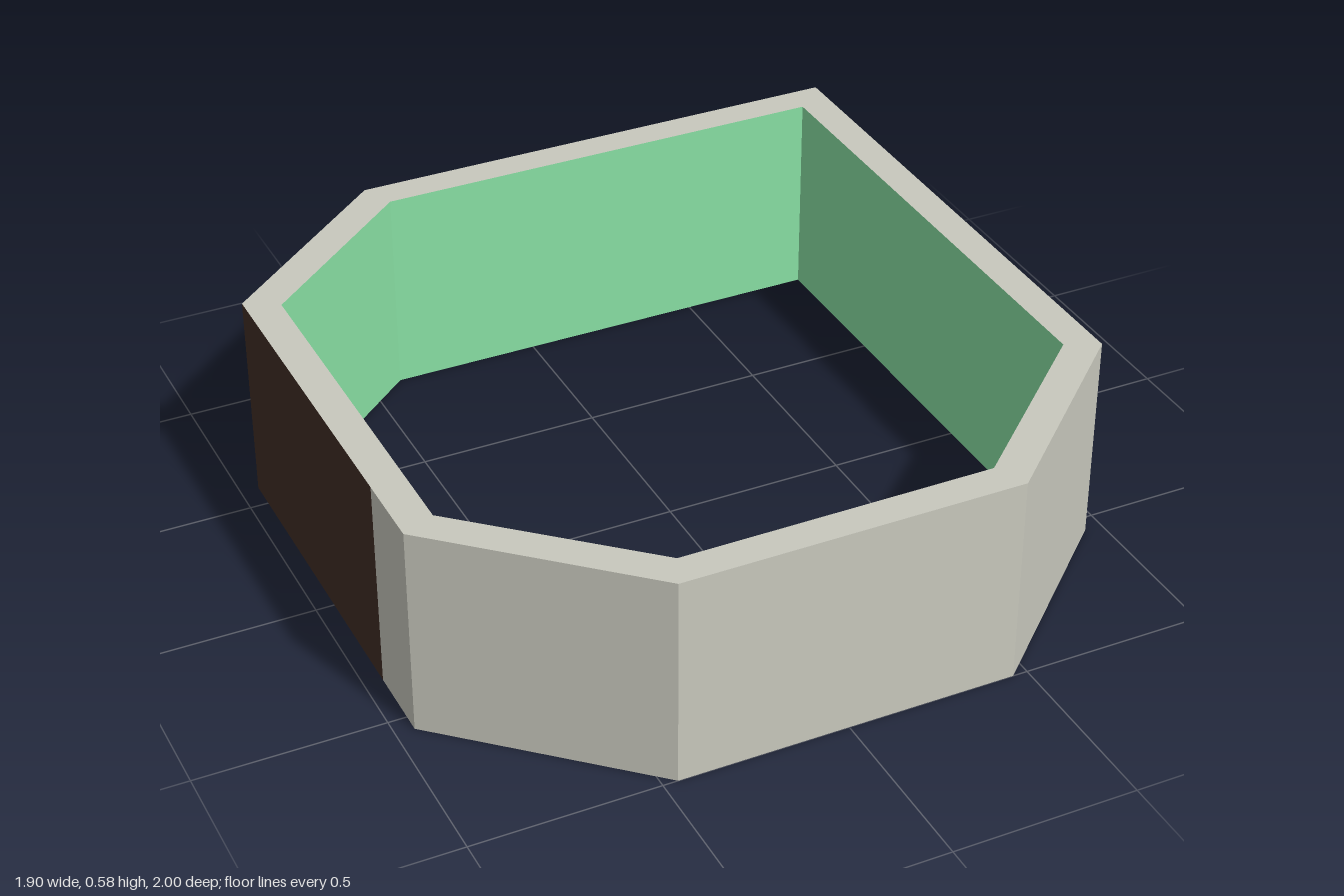
import * as THREE from 'three';

const HEIGHT = 0.58;
const STONE = 0xc8c8bd, TAN = 0xc9b299, BLUE = 0x3a9bad, BROWN = 0x402d25, GREEN = 0x88dfa3;

// Ring corners as [x, z], counterclockwise seen from above
const outer = [[0.95, 0.55], [0.95, -1], [-0.45, -1], [-0.95, -0.58], [-0.95, 0.55], [-0.46, 1], [0.46, 1]];
const inner = [[0.86, 0.51], [0.86, -0.91], [-0.41, -0.91], [-0.86, -0.53], [-0.86, 0.51], [-0.42, 0.91], [0.42, 0.91]];

// Places where the outer colour changes
const rightSeam = [0.95, 0.07], backSeam = [0.49, -1], chamferSeam = [-0.67, -0.815], leftSeam = [-0.95, 0.34];

function mesh(name, geometry, color) {
  const m = new THREE.Mesh(geometry, new THREE.MeshStandardMaterial({ color, flatShading: true }));
  m.name = name;
  return m;
}

// Upright wall along a path, facing to the right of its direction
function wall(name, path, color) {
  const pos = [];
  for (let i = 0; i < path.length - 1; i++) {
    const [ax, az] = path[i], [bx, bz] = path[i + 1];
    pos.push(ax, 0, az, bx, 0, bz, bx, HEIGHT, bz);
    pos.push(ax, 0, az, bx, HEIGHT, bz, ax, HEIGHT, az);
  }
  const g = new THREE.BufferGeometry();
  g.setAttribute('position', new THREE.Float32BufferAttribute(pos, 3));
  g.computeVertexNormals();
  return mesh(name, g, color);
}

// Flat ring between the outer and inner outlines; side is 1 for top, -1 for bottom
function rim(name, side) {
  const toPoints = (list) => list.map(([x, z]) => new THREE.Vector2(x, -side * z));
  const shape = new THREE.Shape(toPoints(outer));
  shape.holes.push(new THREE.Path(toPoints(inner)));
  const g = new THREE.ShapeGeometry(shape);
  g.rotateX(-side * Math.PI / 2);
  if (side > 0) g.translate(0, HEIGHT, 0);
  return mesh(name, g, STONE);
}

export function createModel() {
  const group = new THREE.Group();
  group.name = 'octagonalRing';

  // Coloured bands around the outside
  group.add(
    wall('tanBand', [rightSeam, outer[1], backSeam], TAN),
    wall('blueBand', [backSeam, outer[2], chamferSeam], BLUE),
    wall('brownBand', [chamferSeam, outer[3], leftSeam], BROWN),
    wall('stoneBand', [leftSeam, outer[4], outer[5], outer[6], outer[0], rightSeam], STONE),
  );

  // Inside lining, facing the middle
  group.add(wall('innerLining', [...inner, inner[0]].reverse(), GREEN));

  // Top and bottom edges
  group.add(rim('topRim', 1), rim('bottomRim', -1));
  return group;
}
